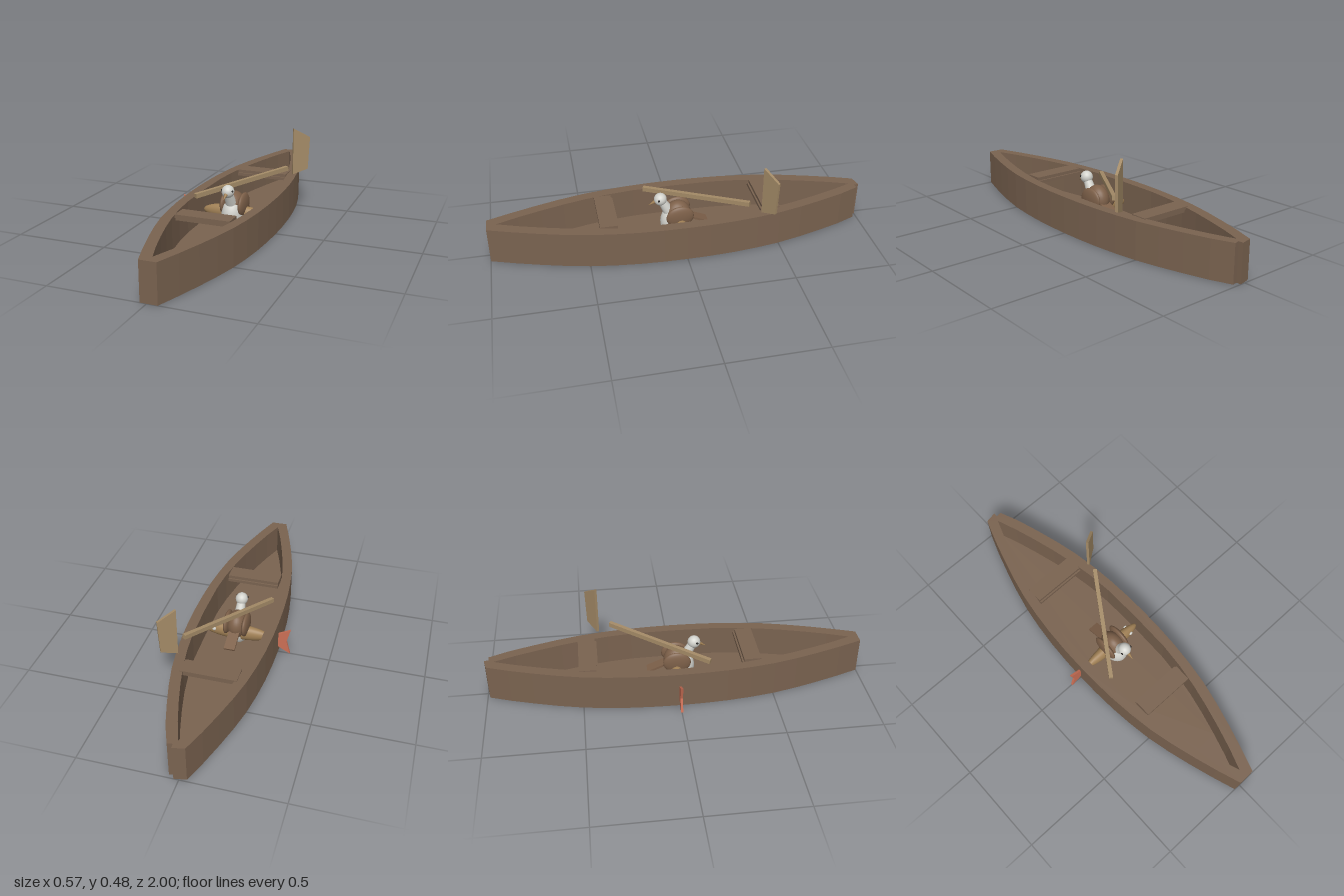
import * as THREE from 'three';

const mat = (name, color) => {
  const m = new THREE.MeshStandardMaterial({ color });
  m.name = name;
  return m;
};

export function createModel() {
  const wood = mat('hull wood', 0x7a6350);
  const oarWood = mat('oar wood', 0xa48b67);
  const white = mat('white feathers', 0xd2d2cc);
  const brown = mat('brown feathers', 0x7d6049);
  const tan = mat('tan skin', 0xa08055);
  const red = mat('red fin', 0xcd7056);
  const dark = mat('eye black', 0x22201e);

  const model = new THREE.Group();
  const add = (name, geo, material, x = 0, y = 0, z = 0) => {
    const m = new THREE.Mesh(geo, material);
    m.name = name;
    m.position.set(x, y, z);
    model.add(m);
    return m;
  };
  const ellipsoid = (name, material, [rx, ry, rz], x, y, z) =>
    add(name, new THREE.SphereGeometry(1, 28, 18).scale(rx, ry, rz), material, x, y, z);
  // Plan outline given as [x, z] points, raised from y0 to y1
  const plan = (pts, holes, y0, y1) => {
    const v = (list) => list.map(([x, z]) => new THREE.Vector2(x, -z)).reverse();
    const shape = new THREE.Shape(v(pts));
    if (holes) shape.holes.push(new THREE.Path(v(holes).reverse()));
    return new THREE.ExtrudeGeometry(shape, { depth: y1 - y0, bevelEnabled: false })
      .rotateX(-Math.PI / 2).translate(0, y0, 0);
  };

  // Hull: plank ring, pointed inside and blunt outside, with a split stern
  const c = 0.01;
  const outer = [[0.228, 0.12], [0.221, 0.25], [0.208, 0.375], [0.189, 0.5], [0.16, 0.625], [0.125, 0.75], [0.086, 0.875]];
  const inner = [[0.173, 0.22], [0.16, 0.35], [0.138, 0.48], [0.11, 0.6], [0.077, 0.72], [0.04, 0.84]];
  const ring = (half, mid, bow, stern) => [
    [c + mid, 0], ...half.map(([x, z]) => [c + x, z]),
    ...bow,
    ...[...half].reverse().map(([x, z]) => [c - x, z]),
    [c - mid, 0], ...half.map(([x, z]) => [c - x, -z]),
    ...stern,
    ...[...half].reverse().map(([x, z]) => [c + x, -z]),
  ];
  const outerRing = ring(outer, 0.23, [[0.053, 1], [-0.033, 1]],
    [[-0.035, -0.988], [0.025, -1], [0.026, -0.975], [0.053, -0.98]]);
  const innerRing = ring(inner, 0.177, [[c, 0.95]], [[c, -0.95]]);
  add('hull', plan(outerRing, innerRing, 0, 0.197), wood);
  add('floor', plan(innerRing, null, 0.012, 0.03), wood);

  // Two bench seats, each with a rail showing on the side towards the middle
  for (const s of [1, -1]) {
    const z = s > 0 ? 0.391 : -0.467;
    add('seat', new THREE.BoxGeometry(0.287, 0.018, 0.09), wood, c, 0.192, z);
    add('seatRail', new THREE.BoxGeometry(0.287, 0.016, 0.09), wood, c, 0.176, z - s * 0.009);
  }

  // Oar: square shaft and separate broad blade
  const a = new THREE.Vector3(-0.145, 0.213, 0.165);
  const b = new THREE.Vector3(0.19, 0.266, -0.333);
  const shaft = add('oarShaft', new THREE.BoxGeometry(0.021, 0.024, a.distanceTo(b)), oarWood);
  shaft.position.copy(a).add(b).multiplyScalar(0.5);
  shaft.lookAt(b);
  const bladeShape = new THREE.Shape([[0, 0.215], [0.087, 0.243], [0.096, 0.425], [0, 0.478]]
    .map(([x, y]) => new THREE.Vector2(x, y)));
  const blade = add('oarBlade',
    new THREE.ExtrudeGeometry(bladeShape, { depth: 0.014, bevelEnabled: false }), oarWood, 0.205, 0, -0.393);
  blade.geometry.translate(0, 0, -0.014);
  blade.rotation.y = 0.6;

  // Fish lying across the boat, its tail showing through the side
  ellipsoid('fishBody', tan, [0.18, 0.045, 0.034], 0.01, 0.09, 0);
  for (const s of [1, -1]) ellipsoid('fishEye', white, [0.011, 0.011, 0.007], 0.13, 0.1, s * 0.024);
  const finShape = new THREE.Shape([[-0.285, 0.003], [-0.2, 0.05], [-0.175, 0.08], [-0.2, 0.112], [-0.285, 0.156], [-0.265, 0.08]]
    .map(([x, y]) => new THREE.Vector2(x, y)));
  add('fishTail', new THREE.ExtrudeGeometry(finShape, { depth: 0.012, bevelEnabled: false }), red, 0, 0, -0.006);

  // Bird: pale breast, brown back, folded wings and tail
  ellipsoid('birdBreast', white, [0.06, 0.09, 0.072], c, 0.092, 0.03);
  ellipsoid('birdBack', brown, [0.056, 0.078, 0.072], c, 0.134, 0.008);
  for (const s of [1, -1]) {
    const wing = ellipsoid('birdWing', brown, [0.02, 0.062, 0.074], c + s * 0.05, 0.143, 0.004);
    wing.rotation.x = 0.1;
  }
  const tail = add('birdTail', new THREE.BoxGeometry(0.058, 0.012, 0.11), brown, c, 0.1, -0.1);
  tail.rotation.x = -0.4;
  const neck = add('birdNeck', new THREE.CylinderGeometry(0.022, 0.03, 0.08, 20), white, c, 0.188, 0.073);
  neck.rotation.x = 0.5;
  ellipsoid('birdHead', white, [0.033, 0.034, 0.034], c, 0.236, 0.1);
  const beak = add('birdBeak', new THREE.ConeGeometry(0.012, 0.05, 16), tan, c, 0.218, 0.143);
  beak.rotation.x = Math.PI / 2 + 0.5;
  for (const s of [1, -1]) ellipsoid('birdEye', dark, [0.004, 0.006, 0.006], c + s * 0.03, 0.243, 0.113);

  return model;
}
